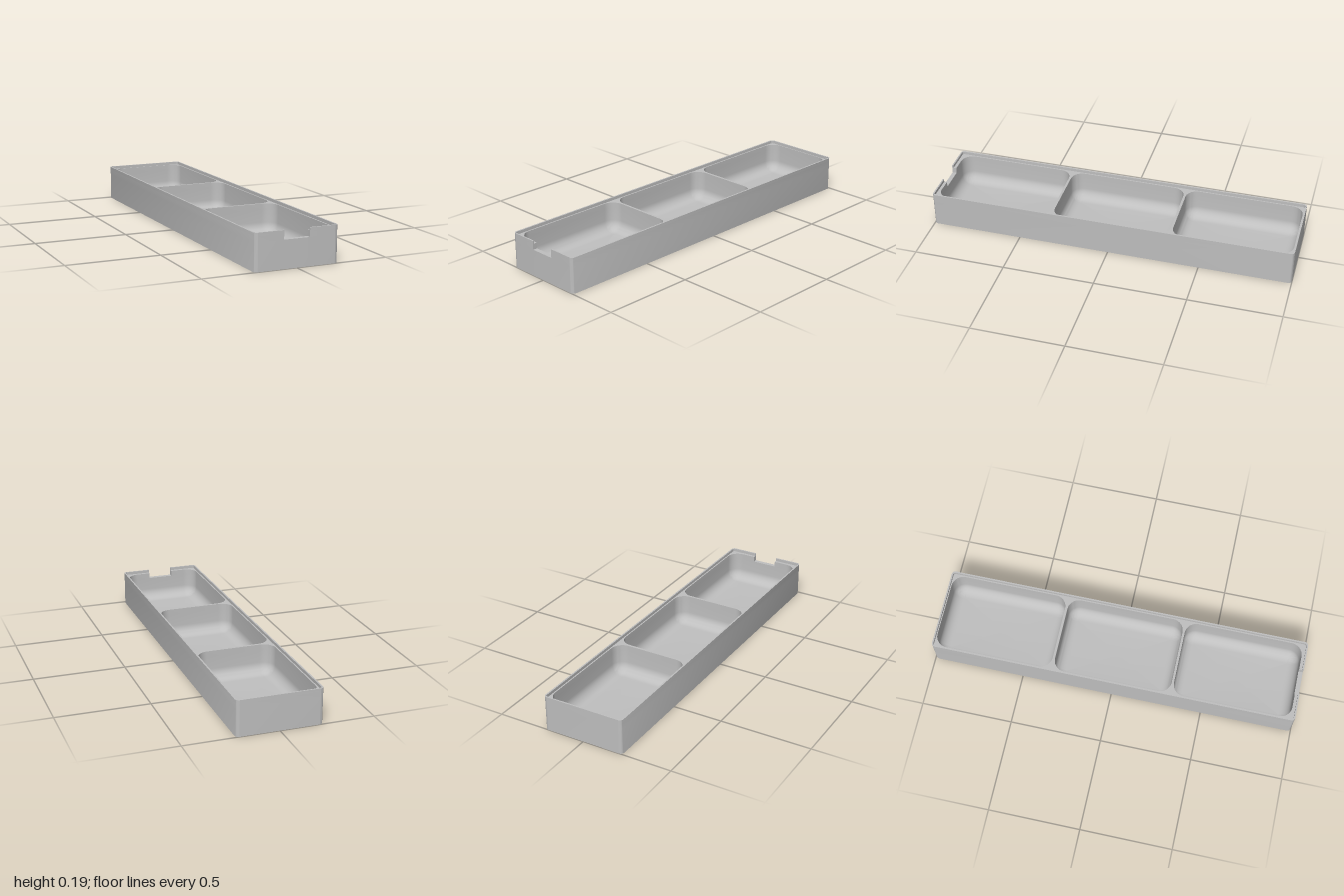
import * as THREE from 'three';
import { toCreasedNormals } from 'three/addons/utils/BufferGeometryUtils.js';

const TOP = 0.192, DECK = 0.176, NOTCH_Y = 0.145, FLOOR = 0.015;
const NOTCH = 0.07; // half width of the finger notch
const OUTER = { hw: 0.2275, hd: 1, r: 0.02, cz: 0 };
const LIP = { hw: 0.219, hd: 0.992, r: 0.013, cz: 0 };
const POCKET = { hw: 0.212, hd: 0.323, r: 0.065 };
const POCKET_Z = [-0.664, -0.005, 0.653];
const FILLET = 0.06;

// Rounded rectangle in plan as [x, z], running from front middle round to front middle,
// leaving a gap of half width g at the front
function outline({ hw, hd, r, cz }, g = 0) {
  const pts = [[g, cz + hd]];
  const corners = [[1, 1], [1, -1], [-1, -1], [-1, 1]];
  corners.forEach(([sx, sz], k) => {
    for (let i = 0; i <= 10; i++) {
      const a = Math.PI / 2 * (1 - k - i / 10);
      pts.push([sx * (hw - r) + r * Math.cos(a), cz + sz * (hd - r) + r * Math.sin(a)]);
    }
  });
  pts.push([-g, cz + hd]);
  return pts;
}

// Skin joining a stack of outlines, each { rect, y }
function loft(rings) {
  const pos = [], idx = [];
  const n = outline(OUTER).length;
  for (const { rect, y } of rings) {
    for (const [x, z] of outline(rect)) pos.push(x, y, z);
  }
  for (let j = 0; j < rings.length - 1; j++) {
    for (let i = 0; i < n - 1; i++) {
      const a = j * n + i, b = a + 1, c = a + n, d = c + 1;
      idx.push(a, b, d, a, d, c);
    }
  }
  const geo = new THREE.BufferGeometry();
  geo.setAttribute('position', new THREE.Float32BufferAttribute(pos, 3));
  geo.setIndex(idx);
  return toCreasedNormals(geo, 0.6);
}

const toVec = ([x, z]) => new THREE.Vector2(x, -z);

// Upright wall between two outlines, open at the front notch
function notchedWall(outer, inner, y0, y1, holes = []) {
  const path = [...outline(outer, NOTCH), ...outline(inner, NOTCH).reverse()];
  const shape = new THREE.Shape(path.map(toVec));
  for (const h of holes) shape.holes.push(new THREE.Path(outline(h).slice(0, -1).map(toVec)));
  const geo = new THREE.ExtrudeGeometry(shape, { depth: y1 - y0, bevelEnabled: false });
  geo.rotateX(-Math.PI / 2);
  geo.translate(0, y0, 0);
  return toCreasedNormals(geo, 0.6);
}

export function createModel() {
  const group = new THREE.Group();
  const grey = new THREE.MeshStandardMaterial({ color: 0xbfbfbf });
  grey.name = 'grey plastic';
  const add = (name, geo) => {
    const mesh = new THREE.Mesh(geo, grey);
    mesh.name = name;
    group.add(mesh);
    return mesh;
  };
  const point = (cz) => ({ hw: 0, hd: 0, r: 0, cz });
  const pockets = POCKET_Z.map((cz) => ({ ...POCKET, cz }));

  // Underside and outer walls up to the notch
  add('body', loft([
    { rect: point(0), y: 0 },
    { rect: OUTER, y: 0 },
    { rect: OUTER, y: NOTCH_Y },
  ]));

  // Compartments with a rounded floor edge
  pockets.forEach((p, k) => {
    const rings = [{ rect: p, y: NOTCH_Y }];
    for (let i = 0; i <= 10; i++) {
      const a = Math.PI / 2 * i / 10;
      const inset = FILLET * (1 - Math.cos(a));
      rings.push({
        rect: { hw: p.hw - inset, hd: p.hd - inset, r: p.r - inset, cz: p.cz },
        y: FLOOR + FILLET * (1 - Math.sin(a)),
      });
    }
    rings.push({ rect: point(p.cz), y: FLOOR });
    add('compartment' + (k + 1), loft(rings));
  });

  // Upper walls and dividers, then the thin lip around the lid seat
  add('upperWallsAndDividers', notchedWall(OUTER, pockets[2], NOTCH_Y, DECK, pockets.slice(0, 2)));
  add('lip', notchedWall(OUTER, LIP, DECK, TOP));

  // Floor of the finger notch
  const back = POCKET_Z[2] + POCKET.hd;
  const ledge = new THREE.PlaneGeometry(NOTCH * 2, 1 - back).rotateX(-Math.PI / 2);
  add('notchFloor', ledge).position.set(0, NOTCH_Y, (1 + back) / 2);

  return group;
}
